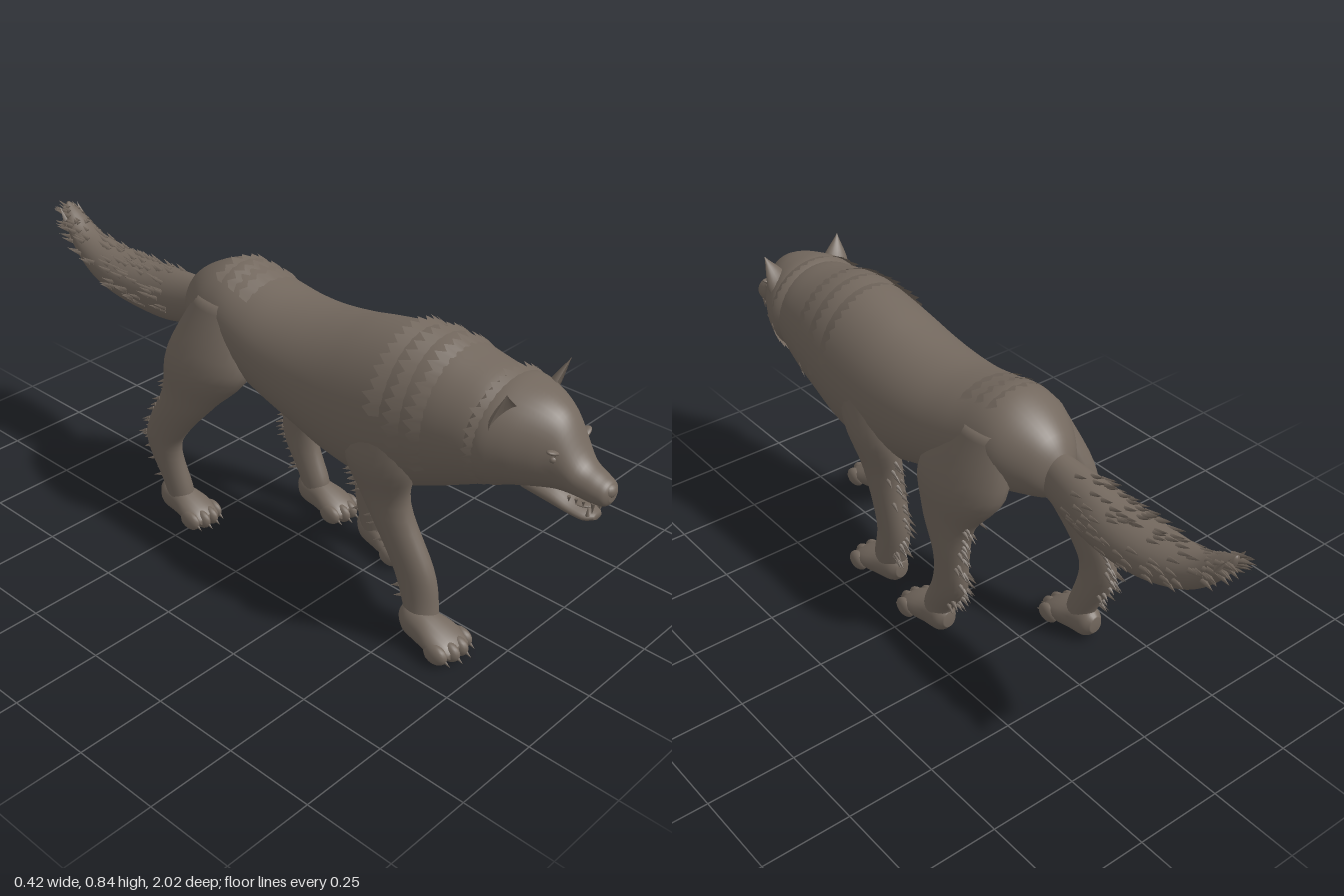
import * as THREE from 'three';
import { mergeGeometries } from 'three/addons/utils/BufferGeometryUtils.js';

const V = (x, y, z) => new THREE.Vector3(x, y, z);
let seed = 7;
const rand = () => (seed = (seed * 16807) % 2147483647) / 2147483647;

// Smooth interpolation through rows of [x, y, z, radiusX, radiusV]
function rowAt(rows, t) {
  const f = t * (rows.length - 1), i = Math.min(Math.floor(f), rows.length - 2), u = f - i;
  const r = (k) => rows[Math.max(0, Math.min(rows.length - 1, k))];
  return r(i).map((b, c) => {
    const a = r(i - 1)[c], d = r(i + 1)[c], e = r(i + 2)[c];
    return b + 0.5 * u * (d - a + u * (2 * a - 5 * b + 4 * d - e + u * (3 * (b - d) + e - a)));
  });
}
function rowAtZ(rows, z) {
  let i = 0;
  while (i < rows.length - 2 && rows[i + 1][2] < z) i++;
  const u = (z - rows[i][2]) / (rows[i + 1][2] - rows[i][2]);
  return rows[i].map((v, c) => v + (rows[i + 1][c] - v) * u);
}
// Point on a section: 'z' lofts lie in the xy plane, 'y' lofts in the xz plane
function onRing(r, a, axis, s = 1) {
  const u = Math.cos(a) * r[3] * s, v = Math.sin(a) * r[4] * s;
  return axis === 'z' ? V(r[0] + u, r[1] + v, r[2]) : V(r[0] + u, r[1], r[2] + v);
}
// Closed skin: z lofts run back to front, y lofts run top to bottom
function loft(rows, axis, n = 32) {
  const m = (rows.length - 1) * 5, pos = [], idx = [];
  for (let i = 0; i <= m; i++) {
    const r = rowAt(rows, i / m);
    for (let j = 0; j < n; j++) pos.push(...onRing(r, (j / n) * Math.PI * 2, axis).toArray());
  }
  for (let i = 0; i < m; i++) for (let j = 0; j < n; j++) {
    const a = i * n + j, b = i * n + ((j + 1) % n);
    idx.push(a, b, b + n, a, b + n, a + n);
  }
  const c = pos.length / 3;
  pos.push(...rows[0].slice(0, 3), ...rows[rows.length - 1].slice(0, 3));
  for (let j = 0; j < n; j++) {
    const k = (j + 1) % n;
    idx.push(c, k, j, c + 1, m * n + j, m * n + k);
  }
  return build(pos, idx);
}
function build(pos, idx) {
  const g = new THREE.BufferGeometry();
  g.setAttribute('position', new THREE.Float32BufferAttribute(pos, 3));
  g.setIndex(idx);
  g.computeVertexNormals();
  return g;
}
// Spike whose base sits at p and which points along dir
function spike(p, dir, r, h, sides = 4) {
  const g = new THREE.ConeGeometry(r, h, sides);
  g.translate(0, h / 2, 0);
  g.applyQuaternion(new THREE.Quaternion().setFromUnitVectors(V(0, 1, 0), dir.clone().normalize()));
  return g.translate(p.x, p.y, p.z);
}
function ball(x, y, z, sx, sy, sz) {
  return new THREE.SphereGeometry(1, 16, 12).scale(sx, sy, sz).translate(x, y, z);
}
// Flared fringe of fur with a zigzag edge, wrapped round a z loft
function fringe(rows, z, from, to, flare, len, teeth) {
  const pos = [], idx = [], n = teeth * 2;
  for (let j = 0; j <= n; j++) {
    const a = from + ((to - from) * j) / n, jag = j % 2 ? 0.5 + rand() * 0.6 : 0;
    const p = onRing(rowAtZ(rows, z + len), a, 'z', 0.98);
    const q = onRing(rowAtZ(rows, z), a, 'z', 1 + flare * (0.55 + 0.5 * jag));
    q.z -= jag * len * 0.7;
    pos.push(...p.toArray(), ...q.toArray());
    if (j) idx.push(2 * j - 2, 2 * j, 2 * j + 1, 2 * j - 2, 2 * j + 1, 2 * j - 1);
  }
  return build(pos, idx);
}

const bodyRows = [
  [0, 0.62, -0.4, 0.03, 0.05], [0, 0.64, -0.36, 0.08, 0.09], [0, 0.655, -0.28, 0.13, 0.125],
  [0, 0.655, -0.2, 0.145, 0.145], [0, 0.63, -0.1, 0.158, 0.148], [0, 0.605, 0, 0.166, 0.158],
  [0, 0.59, 0.1, 0.172, 0.175], [0, 0.58, 0.2, 0.177, 0.2], [0, 0.582, 0.3, 0.18, 0.22],
  [0, 0.595, 0.4, 0.18, 0.225], [0, 0.62, 0.5, 0.176, 0.208], [0, 0.635, 0.6, 0.165, 0.175],
  [0, 0.65, 0.7, 0.14, 0.135], [0, 0.65, 0.74, 0.08, 0.08]];
const headRows = [
  [0, 0.655, 0.64, 0.13, 0.12], [0, 0.655, 0.7, 0.158, 0.143], [0, 0.663, 0.76, 0.138, 0.13],
  [0, 0.662, 0.82, 0.102, 0.113], [0, 0.65, 0.865, 0.072, 0.092], [0, 0.612, 0.915, 0.053, 0.05],
  [0, 0.598, 0.96, 0.043, 0.038], [0, 0.594, 0.985, 0.033, 0.03], [0, 0.592, 0.995, 0.015, 0.014]];
const jawRows = [
  [0, 0.56, 0.78, 0.06, 0.03], [0, 0.545, 0.85, 0.052, 0.026], [0, 0.53, 0.9, 0.044, 0.018],
  [0, 0.522, 0.94, 0.035, 0.014], [0, 0.522, 0.962, 0.015, 0.008]];
const tailRows = [
  [0.015, 0.735, -0.985, 0.008, 0.01], [0.012, 0.69, -0.95, 0.035, 0.035], [0.01, 0.63, -0.87, 0.055, 0.05],
  [0.008, 0.6, -0.75, 0.077, 0.062], [0.005, 0.593, -0.62, 0.08, 0.07], [0, 0.6, -0.5, 0.068, 0.078],
  [0, 0.62, -0.38, 0.05, 0.07], [0, 0.65, -0.3, 0.04, 0.05]];

const legs = {
  rightFrontLeg: { toe: 0.71, footX: -0.118, w: 1, rows: [
    [-0.1, 0.64, 0.42, 0.06, 0.1], [-0.12, 0.5, 0.4, 0.065, 0.11], [-0.105, 0.37, 0.41, 0.047, 0.075],
    [-0.097, 0.2, 0.5, 0.042, 0.065], [-0.1, 0.1, 0.535, 0.042, 0.052], [-0.11, 0.05, 0.55, 0.042, 0.045]] },
  leftFrontLeg: { toe: 0.35, footX: 0.122, w: 1, rows: [
    [0.1, 0.64, 0.3, 0.07, 0.12], [0.13, 0.5, 0.25, 0.06, 0.11], [0.12, 0.37, 0.218, 0.047, 0.075],
    [0.118, 0.2, 0.178, 0.042, 0.058], [0.12, 0.1, 0.19, 0.042, 0.056], [0.12, 0.05, 0.2, 0.042, 0.045]] },
  leftHindLeg: { toe: 0.09, footX: 0.15, w: 0.85, rows: [
    [0.075, 0.72, -0.2, 0.06, 0.09], [0.123, 0.55, -0.15, 0.072, 0.158], [0.147, 0.42, -0.12, 0.05, 0.1],
    [0.155, 0.3, -0.14, 0.04, 0.062], [0.155, 0.2, -0.135, 0.036, 0.062], [0.15, 0.1, -0.08, 0.036, 0.05],
    [0.15, 0.05, -0.07, 0.036, 0.045]] },
  rightHindLeg: { toe: -0.18, footX: -0.152, w: 0.85, rows: [
    [-0.075, 0.72, -0.2, 0.06, 0.09], [-0.135, 0.55, -0.21, 0.072, 0.15], [-0.155, 0.42, -0.27, 0.05, 0.1],
    [-0.165, 0.3, -0.35, 0.038, 0.075], [-0.165, 0.22, -0.375, 0.036, 0.062], [-0.155, 0.1, -0.335, 0.036, 0.047],
    [-0.152, 0.05, -0.325, 0.036, 0.045]] }
};

export function createModel() {
  const model = new THREE.Group();
  const fur = new THREE.MeshStandardMaterial({ color: 0x73685e, side: THREE.DoubleSide });
  fur.name = 'grey brown fur';
  const add = (name, geo, parent = model) => {
    const mesh = new THREE.Mesh(Array.isArray(geo) ? mergeGeometries(geo) : geo, fur);
    mesh.name = name;
    parent.add(mesh);
    return mesh;
  };

  add('body', loft(bodyRows, 'z', 40));
  add('tail', loft(tailRows, 'z', 24));

  // Neck mane, cheek ruff and rump ridges
  add('mane', [0.54, 0.475, 0.41].map((z, i) =>
    fringe(bodyRows, z, -0.5 + i * 0.35, Math.PI + 0.5 - i * 0.35, 0.07, 0.04, 26 - i * 4)));
  add('cheekRuff', fringe(headRows, 0.695, -1.2, Math.PI + 1.2, 0.09, 0.03, 34));
  add('rumpRidges', [-0.12, -0.165, -0.21].map((z) => fringe(bodyRows, z, 0.9, Math.PI - 0.9, 0.07, 0.035, 6)));

  // Shaggy tail
  const tailTufts = [];
  for (let i = 0; i < 150; i++) {
    const r = rowAt(tailRows, 0.06 + rand() * 0.7), a = -0.4 + rand() * (Math.PI + 0.8);
    const dir = V(Math.cos(a) * 0.3, Math.sin(a) * 0.3 + 0.12, -1);
    tailTufts.push(spike(onRing(r, a, 'z', 0.93), dir, 0.009, 0.045));
  }
  for (let i = 0; i < 5; i++) tailTufts.push(spike(V(-0.02 + i * 0.016, 0.7, -0.955), V(0, 0.8, -0.5), 0.01, 0.045));
  add('tailTufts', tailTufts);

  // Head
  const head = new THREE.Group();
  head.name = 'head';
  model.add(head);
  add('skull', loft(headRows, 'z', 36), head);
  add('lowerJaw', loft(jawRows, 'z', 20), head);
  add('nose', ball(0, 0.603, 0.982, 0.023, 0.019, 0.018), head);
  add('tongue', ball(0, 0.54, 0.9, 0.022, 0.006, 0.045), head);
  const teeth = [];
  for (const s of [-1, 1]) {
    teeth.push(spike(V(s * 0.028, 0.572, 0.962), V(0, -1, 0), 0.006, 0.032, 8));
    teeth.push(spike(V(s * 0.024, 0.528, 0.948), V(0, 1, 0), 0.005, 0.028, 8));
    for (let i = 0; i < 3; i++) {
      teeth.push(spike(V(s * (0.005 + i * 0.007), 0.57, 0.975), V(0, -1, 0), 0.004, 0.014, 6));
      teeth.push(spike(V(s * (0.034 + i * 0.003), 0.57, 0.94 - i * 0.018), V(0, -1, 0), 0.005, 0.016, 6));
    }
    const side = s < 0 ? 'right' : 'left';
    add(side + 'Eye', ball(s * 0.06, 0.664, 0.866, 0.014, 0.01, 0.01), head);
    const brow = add(side + 'Brow', ball(0, 0, 0, 0.026, 0.007, 0.014), head);
    brow.position.set(s * 0.06, 0.68, 0.864);
    brow.rotation.z = s * 0.35;
    // Cupped ear: a cone with its front pushed in
    const ear = new THREE.ConeGeometry(0.042, 0.1, 20, 8, true);
    const p = ear.attributes.position;
    for (let i = 0; i < p.count; i++) {
      const z = p.getZ(i), h = p.getY(i) / 0.1 + 0.5;
      const bulge = 1 + 1.1 * h * (1 - h);
      p.setX(i, p.getX(i) * bulge);
      p.setZ(i, (z > 0 ? -z * 0.2 : z * 0.6) * bulge);
    }
    ear.computeVertexNormals();
    const e = add(side + 'Ear', ear, head);
    e.position.set(s * 0.112, 0.773, 0.758);
    e.rotation.set(0.3, s * 0.25, -s * 0.3);
  }
  add('teeth', teeth, head);

  // Legs, paws, claws and the fur along the back of each leg
  for (const [name, { rows, toe, footX, w }] of Object.entries(legs)) {
    const leg = new THREE.Group();
    leg.name = name;
    model.add(leg);
    add('limb', loft(rows, 'y', 24), leg);
    add('paw', loft([
      [footX, 0.06, toe - 0.215, 0.02, 0.025], [footX, 0.056, toe - 0.19, 0.038, 0.045],
      [footX, 0.05, toe - 0.14, 0.05 * w, 0.046], [footX, 0.042, toe - 0.09, 0.062 * w, 0.037],
      [footX, 0.034, toe - 0.05, 0.058 * w, 0.026], [footX, 0.03, toe - 0.03, 0.04 * w, 0.014]], 'z', 20), leg);
    const toes = [], claws = [], tufts = [];
    for (let i = 0; i < 4; i++) {
      const x = footX + (i - 1.5) * 0.034 * w, z = toe - (i % 3 ? 0.05 : 0.065);
      toes.push(ball(x, 0.03, z, 0.02 * w, 0.028, 0.036));
      claws.push(spike(V(x, 0.03, z + 0.018), V(0, -0.5, 1), 0.008, 0.035, 8));
    }
    add('toes', toes, leg);
    add('claws', claws, leg);
    for (let i = 0; i < 34; i++) {
      const r = rowAt(rows, 0.3 + 0.5 * (i / 33)), a = -Math.PI / 2 + (rand() - 0.5) * 1.3;
      tufts.push(spike(onRing(r, a, 'y', 0.96), V(Math.cos(a) * 0.4, -0.35, -0.8), 0.007, 0.024 + rand() * 0.014));
    }
    add('legTufts', tufts, leg);
  }
  return model;
}
